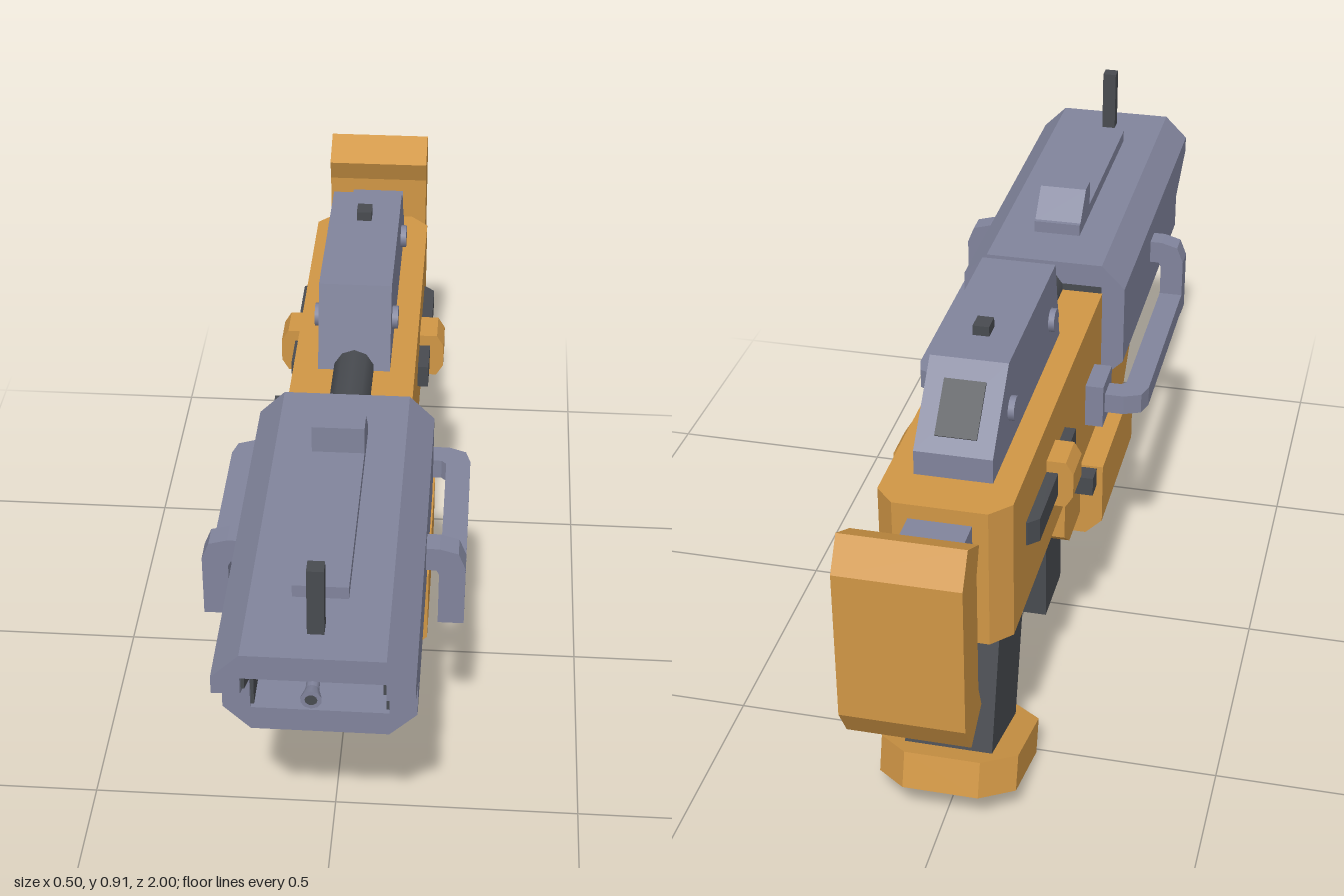
import * as THREE from 'three';

const material = (name, color) => {
  const m = new THREE.MeshStandardMaterial({ color });
  m.name = name;
  return m;
};

export function createModel() {
  const orange = material('orange', 0xd09645);
  const slate = material('slate', 0x81849c);
  const dark = material('charcoal', 0x484b50);
  const cyan = material('cyan', 0x3cb9ce);
  const model = new THREE.Group();
  model.name = 'blaster';

  const add = (name, geometry, mat, parent = model) => {
    const mesh = new THREE.Mesh(geometry, mat);
    mesh.name = name;
    parent.add(mesh);
    return mesh;
  };
  // Box given by its lower and upper bounds on each axis
  const box = (name, mat, [x0, x1], [y0, y1], [z0, z1], parent) => {
    const g = new THREE.BoxGeometry(x1 - x0, y1 - y0, z1 - z0);
    g.translate((x0 + x1) / 2, (y0 + y1) / 2, (z0 + z1) / 2);
    return add(name, g, mat, parent);
  };
  const extrude = (pts, depth) => new THREE.ExtrudeGeometry(
    new THREE.Shape(pts.map(([a, b]) => new THREE.Vector2(a, b))),
    { depth, bevelEnabled: false });
  // Side profile of (z, y) points, extruded from x0 to x1
  const side = (name, mat, pts, x0, x1) =>
    add(name, extrude(pts, x1 - x0).rotateY(-Math.PI / 2).translate(x1, 0, 0), mat);
  // Front profile of (x, y) points, extruded from z0 to z1
  const front = (name, mat, pts, z0, z1) =>
    add(name, extrude(pts, z1 - z0).translate(0, 0, z0), mat);
  // Plan profile of (x, z) points, extruded from y0 to y1
  const plan = (name, mat, pts, y0, y1, parent) =>
    add(name, extrude(pts, y1 - y0).rotateX(Math.PI / 2).translate(0, y1, 0), mat, parent);
  // Cylinder along z
  const rod = (name, mat, r0, r1, y, z0, z1, sides) =>
    add(name, new THREE.CylinderGeometry(r1, r0, z1 - z0, sides).toNonIndexed()
      .rotateX(Math.PI / 2).translate(0, y, (z0 + z1) / 2), mat);

  // Main body and lower fore-end
  plan('body', orange, [[0.127, 0.15], [0.127, -0.68], [0.09, -0.72],
    [-0.09, -0.72], [-0.127, -0.68], [-0.127, 0.15]], 0.43, 0.72);
  side('foreEnd', orange, [[0.57, 0.51], [0.57, 0.45], [0.41, 0.3], [-0.17, 0.3],
    [-0.22, 0.34], [-0.22, 0.43], [0.15, 0.43], [0.15, 0.51]], -0.127, 0.127);
  front('lowerPod', orange, [[-0.14, 0.25], [0.14, 0.25], [0.175, 0.285], [0.175, 0.445],
    [0.1, 0.445], [-0.1, 0.42], [-0.175, 0.42], [-0.175, 0.285]], -0.06, 0.29);
  box('magazine', dark, [-0.075, 0.075], [0.09, 0.32], [-0.16, -0.01]);

  // Barrel shroud: roof, floor and stepped side walls around a dark bore
  front('shroudRoof', slate, [[-0.175, 0.735], [0.175, 0.735], [0.125, 0.785],
    [-0.125, 0.785]], 0.15, 0.965);
  front('shroudFloor', slate, [[-0.125, 0.51], [0.125, 0.51], [0.175, 0.56],
    [-0.175, 0.56]], 0.15, 0.84);
  const wall = [[0.15, 0.56], [0.84, 0.56], [0.84, 0.635], [0.965, 0.7],
    [0.965, 0.735], [0.15, 0.735]];
  side('shroudWallLeft', slate, wall, 0.125, 0.175);
  side('shroudWallRight', slate, wall, -0.175, -0.125);
  box('boreBack', dark, [-0.125, 0.125], [0.56, 0.735], [0.15, 0.53]);
  for (const s of [-1, 1]) {
    const liner = [[0.53, 0.56], [0.83, 0.56], [0.83, 0.635], [0.95, 0.7], [0.95, 0.735], [0.53, 0.735]];
    side('boreLiner', dark, liner, s * 0.122 - 0.003, s * 0.122 + 0.003);
  }
  rod('nozzle', slate, 0.012, 0.012, 0.725, 0.53, 0.985, 10);
  rod('nozzleTip', slate, 0.012, 0.019, 0.725, 0.975, 1, 10);
  add('nozzleHole', new THREE.CircleGeometry(0.011, 10).translate(0, 0.725, 1.0005), dark);

  // Shroud top: front sight, rail and stop
  box('frontSight', dark, [-0.015, 0.015], [0.78, 0.92], [0.87, 0.9]);
  box('topRail', slate, [-0.05, 0.05], [0.78, 0.81], [0.28, 0.8]);
  side('railStop', slate, [[0.39, 0.81], [0.39, 0.865], [0.345, 0.865], [0.29, 0.81]], -0.05, 0.05);

  // Energy disc below the shroud
  const disc = rod('energyDisc', cyan, 0.13, 0.13, 0.495, 0.59, 0.63, 14);
  disc.geometry.computeVertexNormals();
  rod('discHub', dark, 0.056, 0.056, 0.495, 0.55, 0.73, 14);

  // Upper cover with barrel, rear window and top button
  rod('innerBarrel', dark, 0.043, 0.043, 0.72, -0.1, 0.16, 10);
  side('upperCover', slate, [[-0.04, 0.71], [-0.085, 0.9], [-0.49, 0.9], [-0.62, 0.77],
    [-0.62, 0.71]], -0.075, 0.075);
  const rearWindow = add('rearWindow', new THREE.BoxGeometry(0.08, 0.008, 0.11), dark);
  rearWindow.position.set(0, 0.832, -0.558);
  rearWindow.rotation.x = -Math.PI / 4;
  box('topButton', dark, [-0.016, 0.016], [0.89, 0.92], [-0.4, -0.36]);

  // Mirrored details
  for (const s of [-1, 1]) {
    const mir = (pts) => pts.map(([a, b]) => [a * s, b]);
    const span = (a, b) => (s > 0 ? [a, b] : [-b, -a]);

    // Cover bolts
    for (const z of [-0.13, -0.48]) {
      add('coverBolt', new THREE.CylinderGeometry(0.024, 0.024, 0.02, 12)
        .rotateZ(Math.PI / 2).translate(s * 0.077, 0.8, z), slate);
    }
    // Cyan lights
    for (const z of [0.115, 0.24, 0.36, 0.485]) {
      box('sideLight', cyan, span(0.12, 0.131), [0.47, 0.509], [z - 0.02, z + 0.02]);
    }
    // Sliding selector
    plan('selectorSlot', dark, mir([[0.12, -0.23], [0.15, -0.23], [0.15, -0.56],
      [0.13, -0.58], [0.12, -0.58]]), 0.565, 0.615);
    front('selectorKnob', orange, mir([[0.12, 0.54], [0.165, 0.54], [0.18, 0.565],
      [0.18, 0.615], [0.165, 0.64], [0.12, 0.64]]), -0.4, -0.32);
    // Side handle
    front('handlePost', slate, mir([[0.17, 0.64], [0.195, 0.64], [0.2, 0.63], [0.2, 0.515],
      [0.25, 0.515], [0.25, 0.645], [0.236, 0.68], [0.2, 0.69], [0.17, 0.69]]), 0.475, 0.522);
    plan('handleBar', slate, mir([[0.25, 0.48], [0.2, 0.48], [0.2, 0.06], [0.19, 0.05],
      [0.15, 0.05], [0.15, 0], [0.205, 0], [0.24, 0.015], [0.25, 0.05]]), 0.52, 0.563);
    box('handleMount', slate, span(0.12, 0.165), [0.495, 0.59], [-0.02, 0.075]);
  }
  box('boltHandle', dark, [-0.19, -0.12], [0.473, 0.513], [-0.25, -0.21]);

  // Trigger guard
  side('triggerGuard', slate, [[-0.25, 0.44], [-0.25, 0.33], [-0.285, 0.3], [-0.47, 0.3],
    [-0.47, 0.34], [-0.3, 0.34], [-0.295, 0.35], [-0.295, 0.44]], -0.035, 0.035);

  // Tilted grip with octagonal foot
  const grip = new THREE.Group();
  grip.name = 'gripAssembly';
  grip.position.set(0, 0.085, -0.61);
  grip.rotation.x = 0.29;
  model.add(grip);
  box('grip', dark, [-0.087, 0.087], [0, 0.42], [-0.105, 0.105], grip);
  plan('gripFoot', orange, [[0.075, 0.155], [0.137, 0.095], [0.137, -0.095], [0.075, -0.155],
    [-0.075, -0.155], [-0.137, -0.095], [-0.137, 0.095], [-0.075, 0.155]], -0.037, 0.037, grip);

  // Shoulder stock
  for (const y of [0.522, 0.667]) {
    box('stockRod', slate, [-0.06, 0.06], [y - 0.023, y + 0.023], [-0.92, -0.7]);
  }
  side('buttPlate', orange, [[-0.96, 0.81], [-1, 0.75], [-1, 0.45], [-0.96, 0.385],
    [-0.885, 0.425], [-0.905, 0.475], [-0.905, 0.72], [-0.885, 0.77]], -0.115, 0.115);

  return model;
}
